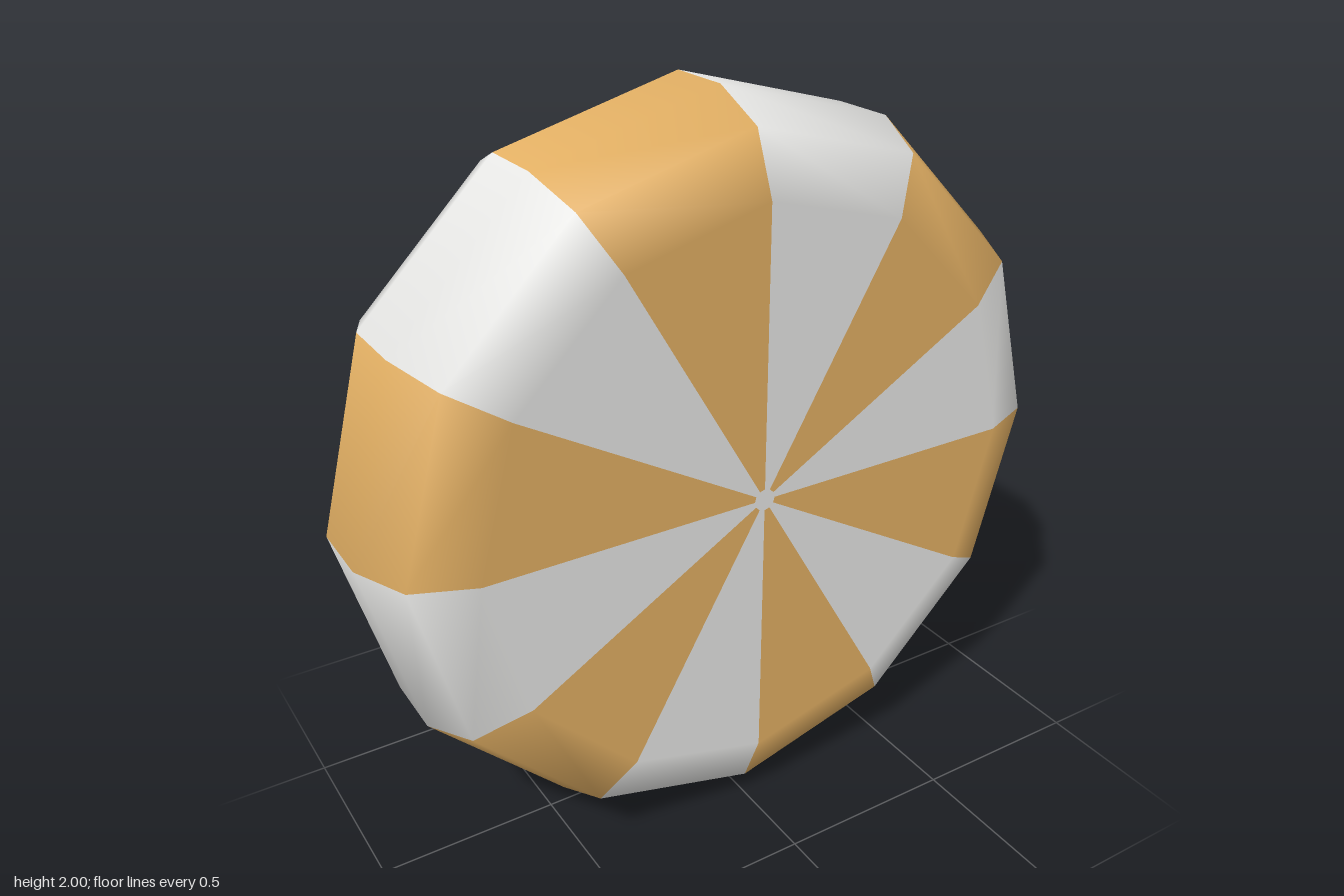
import * as THREE from 'three';

const SIDES = 12;
const STEP = (Math.PI * 2) / SIDES;
const HUB = 0.03;
const HALF = 0.315;

// Half profile: radius, height along the axis, tilt of the smooth normal (0 = axial, 1 = radial)
const half = [
  [HUB, HALF, 0],
  [0.775, HALF, 0],
  [0.932, 0.25, 0.5],
  [1, 0.095, 1],
];
const profile = [
  ...half.map(([r, h, t]) => [r, -h, t]),
  ...[...half].reverse(),
];

// One pie slice running from the back hub over the rim to the front hub
function wedge(start) {
  const points = profile.map(([r, h]) => new THREE.Vector2(r, h));
  const geo = new THREE.LatheGeometry(points, 1, start + Math.PI / 2, STEP);
  const normal = geo.attributes.normal;
  for (let k = 0; k < normal.count; k++) {
    const [, h, t] = profile[k % profile.length];
    const phi = start + Math.PI / 2 + Math.floor(k / profile.length) * STEP;
    const tilt = (t * Math.PI) / 2;
    normal.setXYZ(k, Math.sin(phi) * Math.sin(tilt), Math.sign(h) * Math.cos(tilt), Math.cos(phi) * Math.sin(tilt));
  }
  return geo.rotateX(Math.PI / 2);
}

export function createModel() {
  const cream = new THREE.MeshStandardMaterial({ color: 0xe8e8e6 });
  cream.name = 'white sugar';
  const amber = new THREE.MeshStandardMaterial({ color: 0xe3b064 });
  amber.name = 'amber sugar';

  const candy = new THREE.Group();
  candy.name = 'candyDisc';

  // Alternating slices
  for (let i = 0; i < SIDES; i++) {
    const slice = new THREE.Mesh(wedge(i * STEP), i % 2 ? amber : cream);
    slice.name = i % 2 ? 'amberSlice' : 'whiteSlice';
    candy.add(slice);
  }

  // Small white hubs closing both faces
  for (const side of [1, -1]) {
    const hub = new THREE.Mesh(new THREE.CircleGeometry(HUB, SIDES), cream);
    hub.name = side > 0 ? 'frontHub' : 'backHub';
    hub.position.z = side * HALF;
    if (side < 0) hub.rotation.y = Math.PI;
    candy.add(hub);
  }

  candy.position.y = 1;
  const model = new THREE.Group();
  model.name = 'stripedCandy';
  model.add(candy);
  return model;
}
